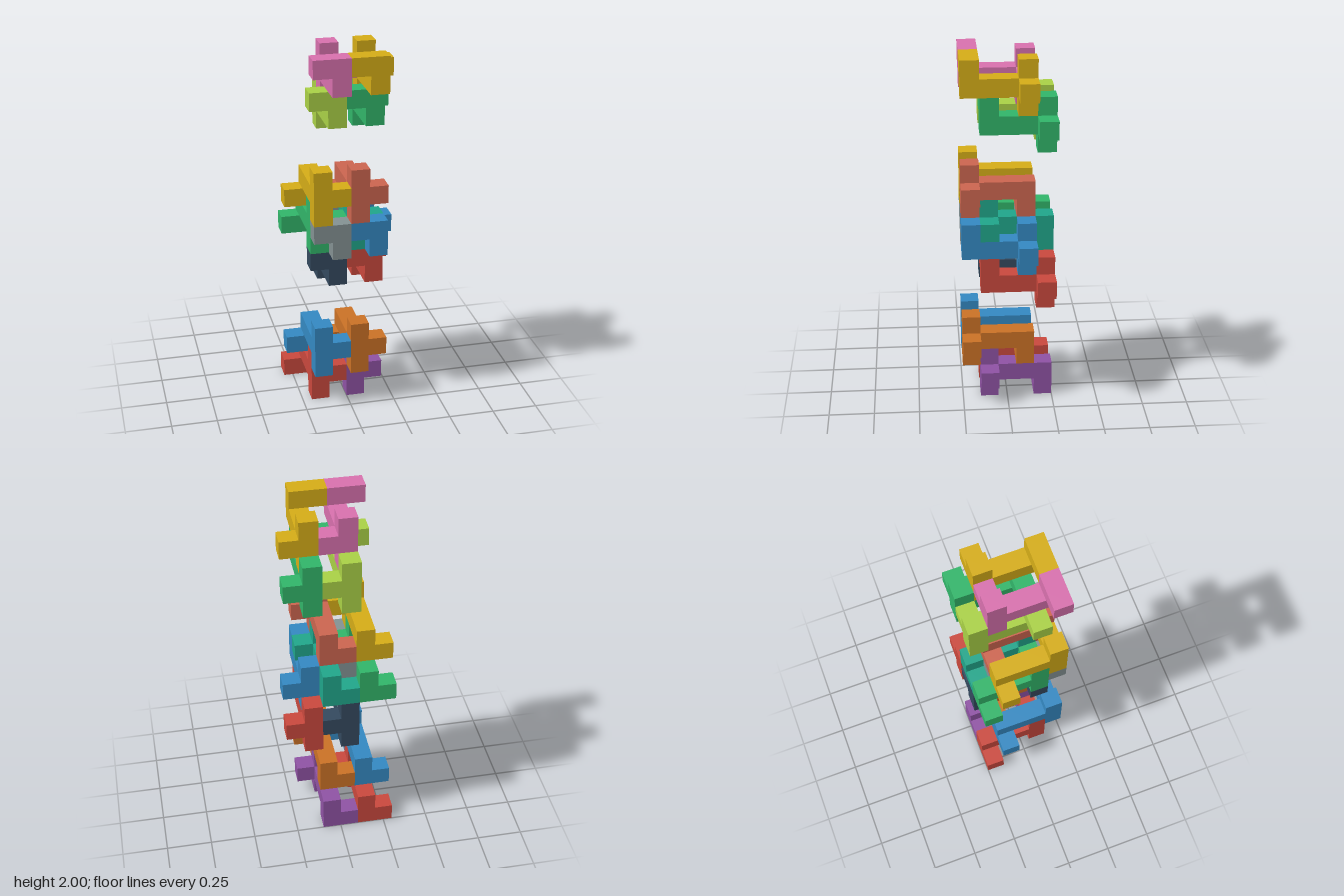
import * as THREE from 'three';
import { mergeGeometries } from 'three/addons/utils/BufferGeometryUtils.js';

const U = 0.1; // edge of one cube

// Cells of one puzzle piece: a bar of four, a three-armed cross at one end, a hook at the other
const CELLS = [
  [0, 0, 0], [0, 0, 1], [0, 0, 2], [0, 0, 3],
  [0, 1, 0], [0, -1, 0], [1, 0, 0],
  [0, 1, 3], [-1, 1, 3],
];

// Outer skin only: a square on each cell side that has no neighbour
function pieceGeometry() {
  const taken = new Set(CELLS.map(String));
  const front = new THREE.Vector3(0, 0, 1);
  const faces = [];
  for (const [x, y, z] of CELLS) {
    for (const axis of [0, 1, 2]) {
      for (const sign of [-1, 1]) {
        const d = [0, 0, 0];
        d[axis] = sign;
        if (taken.has(String([x + d[0], y + d[1], z + d[2]]))) continue;
        const turn = axis === 2 && sign < 0
          ? new THREE.Quaternion(0, 1, 0, 0)
          : new THREE.Quaternion().setFromUnitVectors(front, new THREE.Vector3(...d));
        const face = new THREE.PlaneGeometry(U, U);
        face.applyQuaternion(turn);
        face.translate((x + d[0] / 2) * U, (y + d[1] / 2) * U, (z + d[2] / 2) * U);
        faces.push(face);
      }
    }
  }
  return mergeGeometries(faces);
}

// name, colour, grid cell of the cross centre, flipped end over end
const PIECES = [
  // top cluster
  ['topYellowPiece', 0xd4ac17, [4, 18, 1], false],
  ['topPinkPiece', 0xd770ad, [2, 18, 1], false],
  ['topGreenPiece', 0x31b469, [4, 16, 0], false],
  ['topLimePiece', 0xa9d046, [2, 16, 0], false],
  // middle cluster
  ['middleSalmonPiece', 0xcb654f, [3, 12, 4], true],
  ['middleYellowPiece', 0xd4ac17, [1, 12, 4], true],
  ['middleTealPiece', 0x20a58a, [3, 10, 3], true],
  ['middleGreenPiece', 0x31b469, [1, 10, 3], true],
  ['middleBluePiece', 0x3488c1, [4, 9, 1], false],
  ['middleGreyPiece', 0x839192, [2, 9, 1], false],
  ['middleRedPiece', 0xc9483d, [4, 7, 0], false],
  ['middleDarkPiece', 0x34495e, [2, 7, 0], false],
  // bottom cluster
  ['bottomOrangePiece', 0xca7126, [3, 3, 4], true],
  ['bottomBluePiece', 0x3488c1, [1, 3, 4], true],
  ['bottomPurplePiece', 0x8e52a3, [3, 1, 3], true],
  ['bottomRedPiece', 0xc9483d, [1, 1, 3], true],
];

export function createModel() {
  const model = new THREE.Group();
  model.name = 'explodedBlockPuzzle';
  const geometry = pieceGeometry();
  for (const [name, color, [i, j, k], flipped] of PIECES) {
    const piece = new THREE.Mesh(geometry, new THREE.MeshStandardMaterial({ color }));
    piece.name = name;
    piece.position.set((i - 2.5) * U, (j + 0.5) * U, (k - 2) * U);
    if (flipped) piece.rotation.x = Math.PI;
    model.add(piece);
  }
  return model;
}
